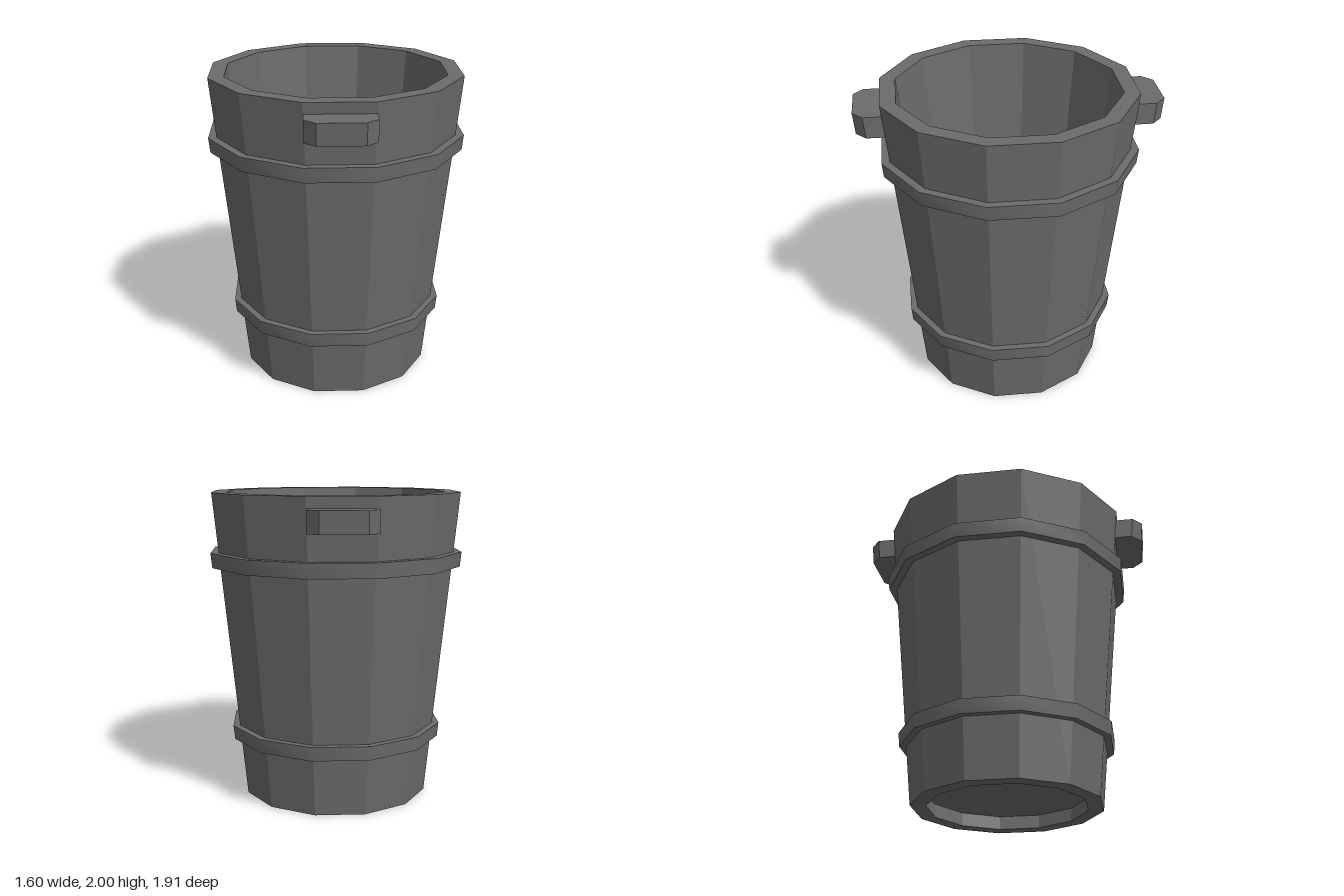
import * as THREE from 'three';
import { toCreasedNormals } from 'three/addons/utils/BufferGeometryUtils.js';

const SIDES = 12;
const SLOPE = 0.0975;                       // outward lean of the walls
const wallAt = (y) => 0.593 + SLOPE * y;    // distance to the flat of the outer wall
const material = new THREE.MeshStandardMaterial({ color: 0x6b6b6b });

// Twelve-sided lathe; profile distances are measured to the flats
function turned(name, profile, crease) {
  const k = 1 / Math.cos(Math.PI / SIDES);
  const points = profile.map(([r, y]) => new THREE.Vector2(r * k, y));
  const geometry = new THREE.LatheGeometry(points, SIDES, Math.PI / SIDES);
  const mesh = new THREE.Mesh(toCreasedNormals(geometry, crease), material);
  mesh.name = name;
  return mesh;
}

// Hoop that hugs the leaning wall, smooth around and sharp at its rims
function hoop(name, y0, y1, thickness) {
  const inset = 0.02;
  return turned(name, [
    [wallAt(y0) - inset, y0],
    [wallAt(y0) + thickness, y0],
    [wallAt(y1) + thickness, y1],
    [wallAt(y1) - inset, y1],
  ], 0.8);
}

// Grip block with chamfered outer corners, sheared to follow the wall
function handle(name, turn) {
  const y0 = 1.793, height = 0.137;
  const shape = new THREE.Shape([
    [-0.209, -0.72], [-0.209, -0.88], [-0.14, -0.943],
    [0.14, -0.943], [0.209, -0.88], [0.209, -0.72],
  ].map(([x, y]) => new THREE.Vector2(x, y)));
  const geometry = new THREE.ExtrudeGeometry(shape, { depth: height, bevelEnabled: false });
  geometry.rotateX(-Math.PI / 2);
  const p = geometry.attributes.position;
  for (let i = 0; i < p.count; i++) p.setZ(i, p.getZ(i) + SLOPE * p.getY(i));
  geometry.translate(0, y0, 0);
  geometry.computeVertexNormals();
  const mesh = new THREE.Mesh(geometry, material);
  mesh.name = name;
  mesh.rotation.y = turn;
  return mesh;
}

export function createModel() {
  const group = new THREE.Group();
  group.name = 'bucket';

  // Body: recessed underside, outer wall, rim, inner wall and floor
  group.add(turned('body', [
    [0, 0.09], [0.504, 0.09], [0.495, 0],
    [wallAt(0), 0], [wallAt(2), 2],
    [0.69, 2], [0.515, 0.2], [0, 0.2],
  ], 0.2));

  group.add(hoop('lowerHoop', 0.383, 0.475, 0.043));
  group.add(hoop('upperHoop', 1.525, 1.62, 0.051));
  group.add(handle('frontHandle', 0));
  group.add(handle('backHandle', Math.PI));
  return group;
}
